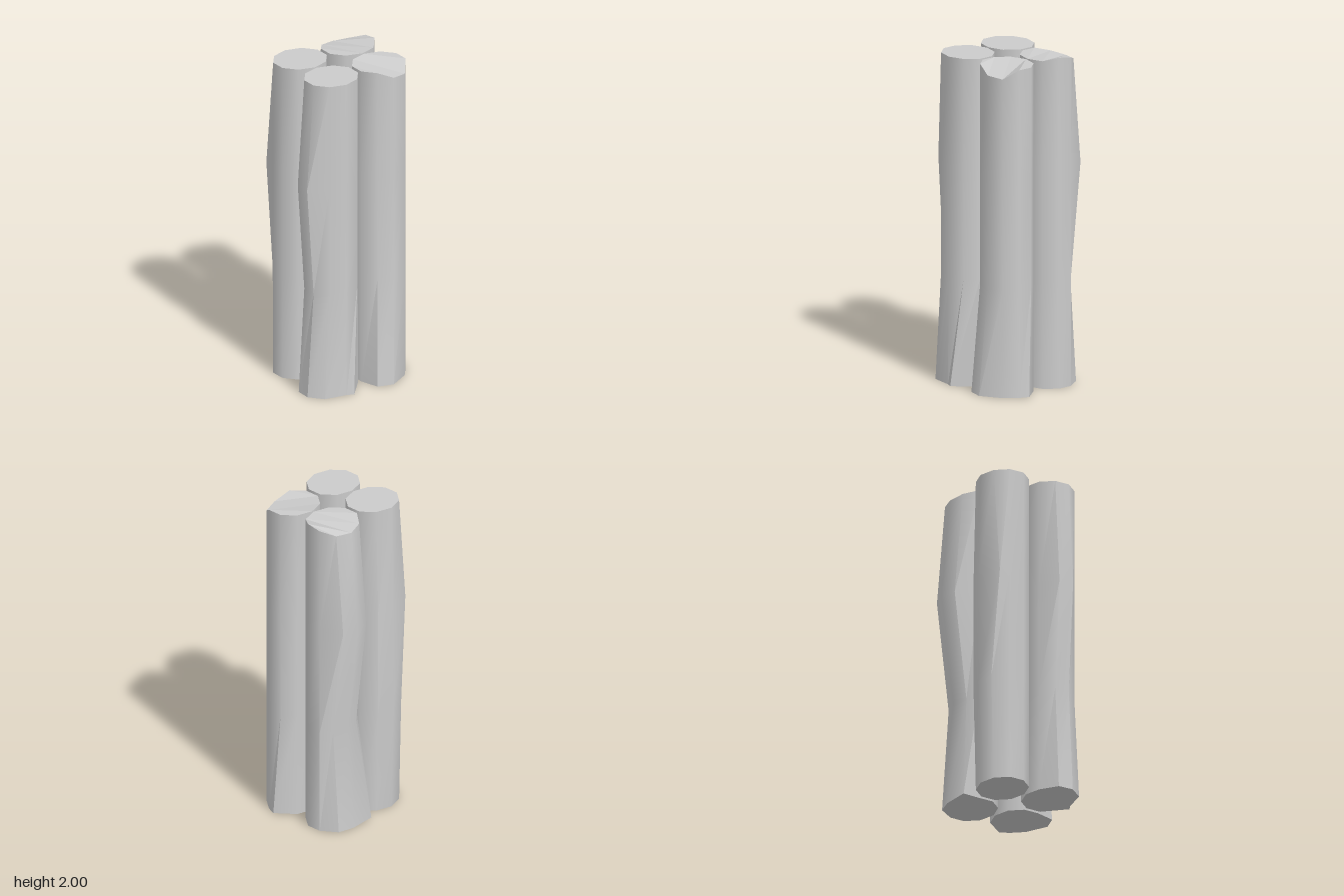
import * as THREE from 'three';
import { toCreasedNormals } from 'three/addons/utils/BufferGeometryUtils.js';

const N = 10;
const LEVELS = [0, 0.65, 1.32, 1.98];
const material = new THREE.MeshStandardMaterial({ color: 0xcccccc });

// Decagonal rings, corner 0 on +x and counting towards -z.
// nudges: [level, corner, dx, dy, dz] push single corners out of true.
function makeRings(cx, cz, nudges) {
  const rings = LEVELS.map((y) => {
    const ring = [];
    for (let i = 0; i < N; i++) {
      const a = (i / N) * Math.PI * 2;
      ring.push(new THREE.Vector3(cx + 0.15 * Math.cos(a), y, cz - 0.168 * Math.sin(a)));
    }
    return ring;
  });
  for (const [level, corner, dx, dy, dz] of nudges) {
    rings[level][corner].add(new THREE.Vector3(dx, dy, dz));
  }
  return rings;
}

function geometryFrom(points, index) {
  const g = new THREE.BufferGeometry().setFromPoints(points);
  g.setIndex(index);
  return g;
}

// Smooth bark between the rings
function sideGeometry(rings) {
  const index = [];
  for (let l = 0; l < rings.length - 1; l++) {
    for (let i = 0; i < N; i++) {
      const a = l * N + i;
      const b = l * N + ((i + 1) % N);
      index.push(a, b, b + N, a, b + N, a + N);
    }
  }
  const g = geometryFrom(rings.flat(), index);
  g.computeVertexNormals();
  return g;
}

// End face cut into parallel strips, so a chipped rim folds cleanly
function capGeometry(ring, up) {
  const index = [];
  for (let k = 0; k < 4; k++) {
    const a = (3 - k + N) % N, b = (2 - k + N) % N;
    const c = 4 + k, d = 5 + k;
    const tris = [[b, a, c], [b, c, d]];
    for (const [p, q, r] of tris) {
      if (up) index.push(p, q, r);
      else index.push(p, r, q);
    }
  }
  return toCreasedNormals(geometryFrom(ring, index), 0.03);
}

function toCreased(geometry) {
  return toCreasedNormals(geometry, 0.7);
}

function makePost(name, cx, cz, nudges) {
  const rings = makeRings(cx, cz, nudges);
  const post = new THREE.Group();
  post.name = name;
  const parts = {
    side: toCreased(sideGeometry(rings)),
    topFace: capGeometry(rings[3], true),
    bottomFace: capGeometry(rings[0], false),
  };
  for (const [part, geometry] of Object.entries(parts)) {
    const mesh = new THREE.Mesh(geometry, material);
    mesh.name = part;
    post.add(mesh);
  }
  return post;
}

export function createModel() {
  const group = new THREE.Group();
  group.name = 'postBundle';

  // Bulged outwards above the middle, with a sloping top
  group.add(makePost('backRightPost', -0.15, -0.183, [
    [0, 4, -0.02, 0, 0], [0, 5, -0.017, 0, 0], [0, 6, -0.035, 0, 0.066],
    [1, 4, 0.025, 0, 0], [1, 5, 0.028, 0, 0], [1, 6, 0.025, 0, 0],
    [2, 4, -0.055, 0, 0], [2, 5, -0.055, 0, 0], [2, 6, -0.055, 0, 0],
    [3, 2, 0, 0.02, 0], [3, 3, 0, 0.005, 0], [3, 4, 0, -0.025, 0],
    [3, 5, 0, -0.03, 0], [3, 6, 0, -0.018, 0],
  ]));

  // Splayed foot and a chipped top
  group.add(makePost('backLeftPost', 0.16, -0.183, [
    [0, 0, 0.042, 0, 0.03], [0, 9, 0.043, 0, 0.028], [0, 3, 0.036, 0, -0.024],
    [3, 0, 0, -0.045, 0], [3, 1, 0, -0.055, 0],
  ]));

  // Nearly straight, slightly swollen in the middle
  group.add(makePost('frontRightPost', -0.15, 0.16, [
    [1, 4, -0.016, 0, 0], [1, 5, -0.017, 0, 0], [1, 6, -0.016, 0, 0],
    [2, 4, -0.016, 0, 0], [2, 5, -0.015, 0, 0], [2, 6, 0.006, 0, 0.06],
  ]));

  // Bowed to the front, with a splayed foot
  group.add(makePost('frontLeftPost', 0.16, 0.16, [
    [0, 7, 0, 0, 0.04], [0, 8, 0, 0, 0.044], [0, 9, 0.008, 0, 0.04],
    [0, 0, 0.005, 0, 0.0], [0, 1, 0.052, 0, 0.058],
    [2, 7, 0, 0, 0.047], [2, 8, 0, 0, 0.047],
  ]));

  return group;
}
